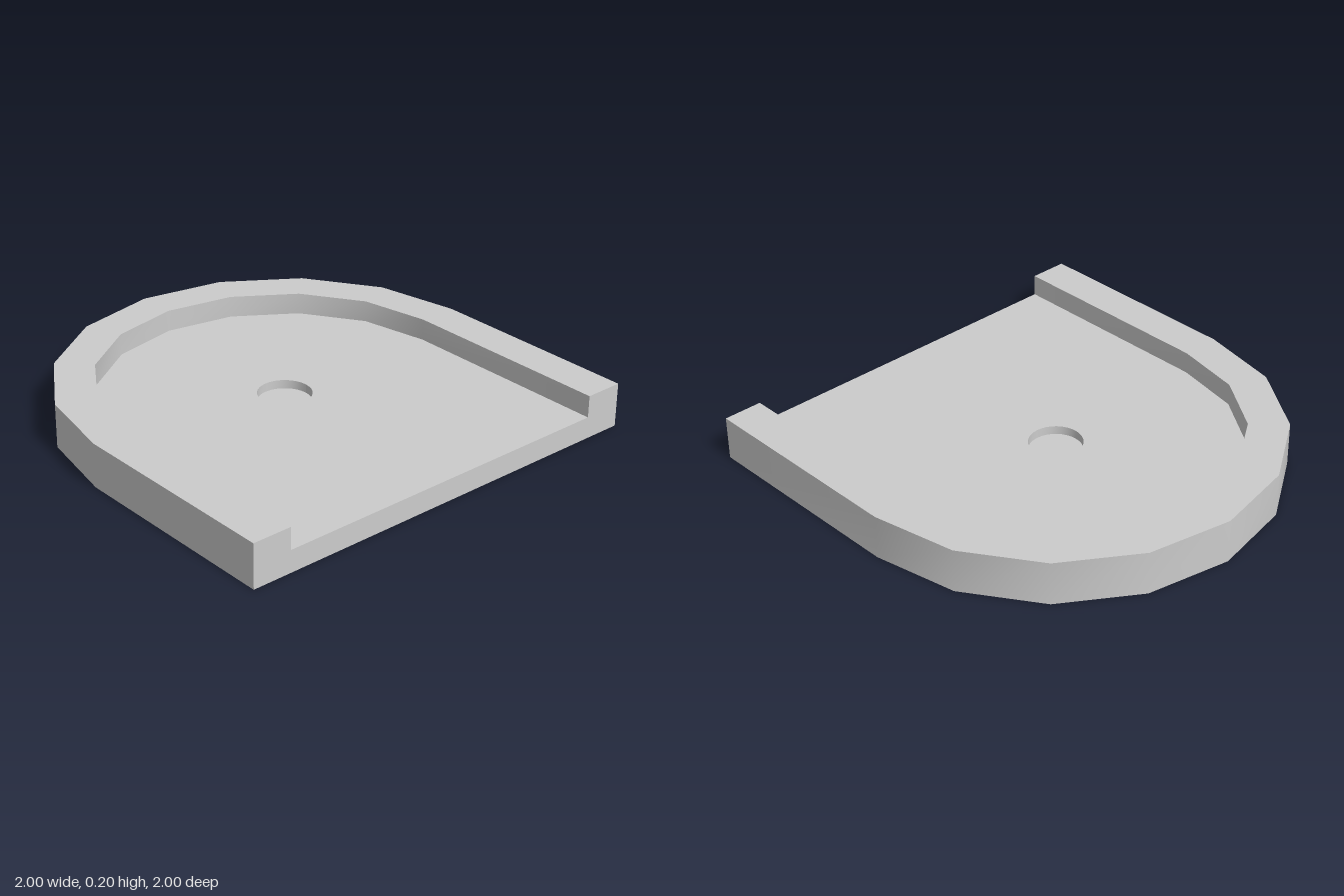
import * as THREE from 'three';

const HEIGHT = 0.2, FLOOR = 0.1, RECESS = 0.06;
const OUTER = 1, INNER = 0.82, HOLE = 0.12;

// Plan outlines: shape y runs towards the back (-z)
function archPoints(r, segments = 8) {
  const pts = [new THREE.Vector2(r, -1)];
  for (let i = 0; i <= segments; i++) {
    const a = (i / segments) * Math.PI;
    pts.push(new THREE.Vector2(r * Math.cos(a), r * Math.sin(a)));
  }
  pts.push(new THREE.Vector2(-r, -1));
  return pts;
}

function circlePoints(r, segments = 32) {
  return Array.from({ length: segments + 1 }, (_, i) => {
    const a = (i / segments) * Math.PI * 2;
    return new THREE.Vector2(r * Math.cos(a), r * Math.sin(a));
  });
}

// Horizontal face at height y, facing up
function flat(shape, y) {
  return new THREE.ShapeGeometry(shape).rotateX(-Math.PI / 2).translate(0, y, 0);
}

// Smooth vertical wall along an outline, facing to the right of its direction
function wall(points, y0, y1) {
  const positions = [], index = [];
  points.forEach((p, i) => {
    positions.push(p.x, y0, -p.y, p.x, y1, -p.y);
    if (i < points.length - 1) {
      const a = i * 2;
      index.push(a, a + 2, a + 3, a, a + 3, a + 1);
    }
  });
  const geometry = new THREE.BufferGeometry();
  geometry.setAttribute('position', new THREE.Float32BufferAttribute(positions, 3));
  geometry.setIndex(index);
  geometry.computeVertexNormals();
  return geometry;
}

export function createModel() {
  const group = new THREE.Group();
  group.name = 'archedTray';
  const material = new THREE.MeshStandardMaterial({ color: 0xcccccc });
  const add = (name, geometry) => {
    const mesh = new THREE.Mesh(geometry, material);
    mesh.name = name;
    group.add(mesh);
  };

  const outer = archPoints(OUTER);
  const inner = archPoints(INNER);
  const hole = circlePoints(HOLE);

  // Underside and outer wall
  add('underside', flat(new THREE.Shape(outer), 0).rotateZ(Math.PI));
  add('outerWall', wall(outer, 0, HEIGHT));

  // Raised rim, open at the front
  add('rimTop', flat(new THREE.Shape([...outer, ...[...inner].reverse()]), HEIGHT));
  add('rimInnerWall', wall([...inner].reverse(), FLOOR, HEIGHT));

  // Tray floor with a shallow round recess
  const floor = new THREE.Shape(inner);
  floor.holes.push(new THREE.Path(hole));
  add('floor', flat(floor, FLOOR));
  add('recessWall', wall([...hole].reverse(), RECESS, FLOOR));
  add('recessBottom', flat(new THREE.Shape(hole), RECESS));

  // Front end, stepped down between the rim ends
  const front = new THREE.Shape([
    [-OUTER, 0], [OUTER, 0], [OUTER, HEIGHT], [INNER, HEIGHT],
    [INNER, FLOOR], [-INNER, FLOOR], [-INNER, HEIGHT], [-OUTER, HEIGHT],
  ].map(([x, y]) => new THREE.Vector2(x, y)));
  add('frontFace', new THREE.ShapeGeometry(front).translate(0, 0, 1));

  return group;
}
